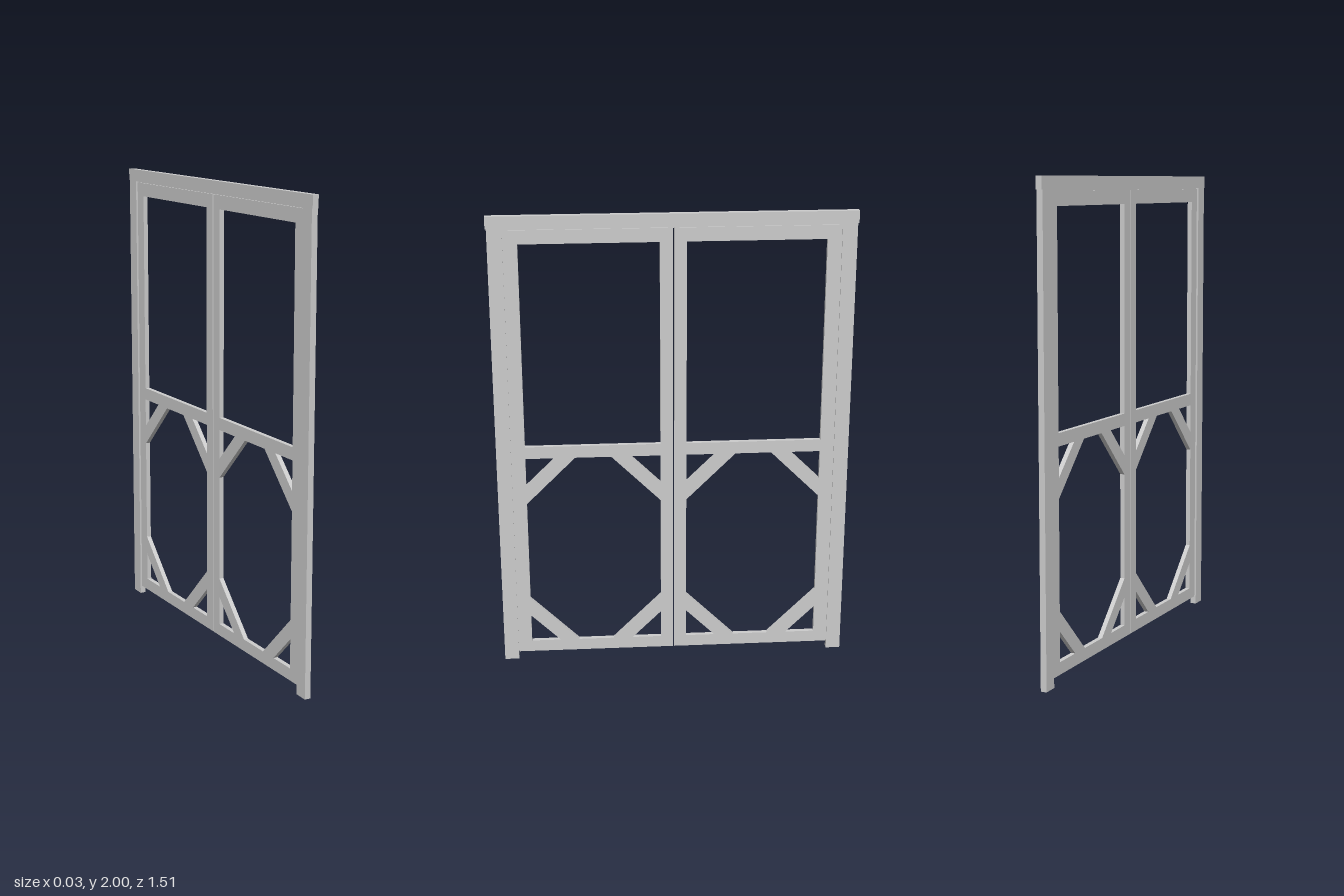
import * as THREE from 'three';

const mat = new THREE.MeshStandardMaterial({ color: 0xcccccc, flatShading: true });
const HALF = 0.013;                    // half depth of the frame
const DOOR_X0 = -0.007, DOOR_X1 = HALF; // doors sit flush on +x, set back on -x

function box(name, x0, x1, y0, y1, z0, z1) {
  const g = new THREE.BoxGeometry(x1 - x0, y1 - y0, z1 - z0);
  g.translate((x0 + x1) / 2, (y0 + y1) / 2, (z0 + z1) / 2);
  const m = new THREE.Mesh(g, mat);
  m.name = name;
  return m;
}

const points = list => list.map(([u, v]) => new THREE.Vector2(u, v));
const rect = (u0, u1, v0, v1) => points([[u0, v0], [u1, v0], [u1, v1], [u0, v1]]);

// Extrude an outline drawn in the plane of the door (u across, v up) along x
function slab(name, outline, holes, x0, x1) {
  const shape = new THREE.Shape(outline);
  for (const h of holes) shape.holes.push(new THREE.Path(h));
  const g = new THREE.ExtrudeGeometry(shape, { depth: x1 - x0, bevelEnabled: false });
  g.rotateY(Math.PI / 2);
  g.translate(x0, 0, 0);
  const m = new THREE.Mesh(g, mat);
  m.name = name;
  return m;
}

function screenDoor(side) {
  const door = new THREE.Group();
  door.name = side > 0 ? 'frontDoor' : 'backDoor';
  const span = (a, b) => (side > 0 ? [a, b] : [-b, -a]);
  const [o0, o1] = span(0.003, 0.684);
  const [i0, i1] = span(0.055, 0.628);
  const low = 0.088, mid = 0.957;

  // Stiles and rails around the upper and lower openings
  door.add(slab('stilesAndRails', rect(o0, o1, 0.036, 1.943),
    [rect(i0, i1, 1.01, 1.885), rect(i0, i1, low, mid)], DOOR_X0, DOOR_X1));

  // Diagonal braces in the four corners of the lower opening
  for (const [u, du] of [[i0, 1], [i1, -1]]) {
    for (const [v, dv] of [[low, 1], [mid, -1]]) {
      door.add(slab('cornerBrace', points([
        [u, v + dv * 0.125], [u + du * 0.127, v],
        [u + du * 0.21, v], [u, v + dv * 0.208],
      ]), [], DOOR_X0, DOOR_X1));
    }
  }
  return door;
}

export function createModel() {
  const model = new THREE.Group();
  model.name = 'doubleScreenDoor';

  // Outer frame
  model.add(box('header', -HALF, HALF, 1.948, 2, -0.755, 0.755));
  for (const s of [1, -1]) {
    const [a, b] = s > 0 ? [0.688, 0.75] : [-0.75, -0.688];
    model.add(box('jamb', -HALF, HALF, 0, 1.948, a, b));
    // Thin strip closing the gap beside the door
    model.add(box('sideStop', 0, 0.008, 0.036, 1.948, s > 0 ? 0.68 : -0.688, s > 0 ? 0.688 : -0.68));
  }
  model.add(box('topStop', 0, 0.008, 1.94, 1.948, -0.688, 0.688));

  // Pair of doors
  for (const s of [1, -1]) model.add(screenDoor(s));
  return model;
}
